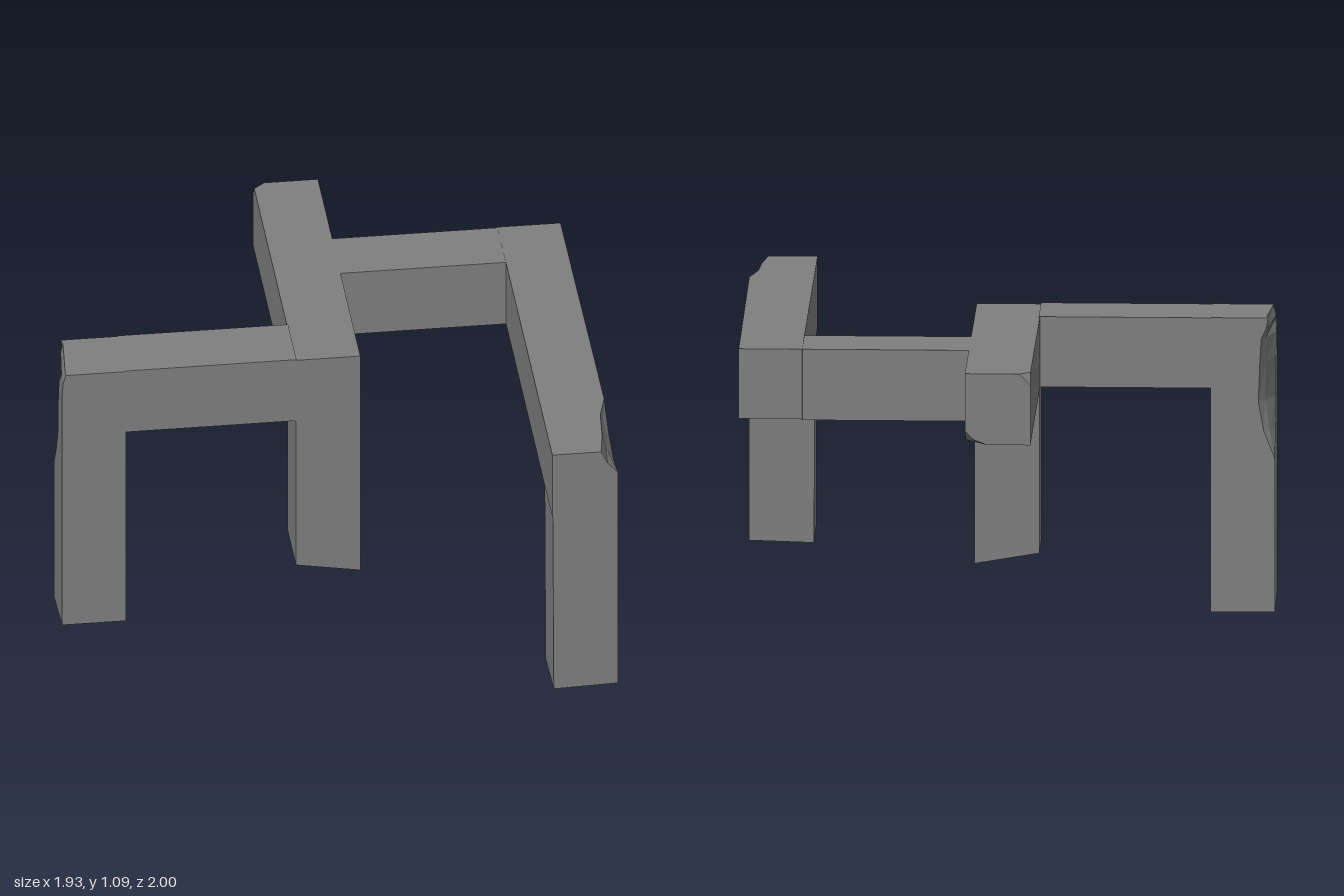
import * as THREE from 'three';

// Loft straight facets through matching rings of [x, y, z] points, capped at both ends
function loft(rings) {
  const n = rings[0].length, tris = [];
  for (let r = 0; r < rings.length - 1; r++) {
    const a = rings[r], b = rings[r + 1];
    for (let i = 0; i < n; i++) {
      const j = (i + 1) % n;
      tris.push([a[i], a[j], b[j]], [a[i], b[j], b[i]]);
    }
  }
  const first = rings[0], last = rings[rings.length - 1];
  for (let i = 1; i < n - 1; i++) {
    tris.push([first[0], first[i + 1], first[i]], [last[0], last[i], last[i + 1]]);
  }
  // Turn all faces outward using the signed volume
  const v = tris.map(t => t.map(p => new THREE.Vector3(...p)));
  const volume = v.reduce((s, [p, q, r]) => s + p.dot(q.clone().cross(r)), 0);
  const pts = v.flatMap(([p, q, r]) => (volume < 0 ? [p, r, q] : [p, q, r]));
  const geo = new THREE.BufferGeometry().setFromPoints(pts);
  geo.computeVertexNormals();
  return geo;
}

export function createModel() {
  const group = new THREE.Group();
  const stone = new THREE.MeshStandardMaterial({ color: 0x7f7f7f });
  stone.name = 'stone grey';
  stone.flatShading = true;

  const add = (name, rings) => {
    const mesh = new THREE.Mesh(loft(rings), stone);
    mesh.name = name;
    group.add(mesh);
  };
  // Horizontal ring whose height may slope in x and z
  const level = (x0, x1, z0, z1, y) =>
    [[x0, z0], [x1, z0], [x1, z1], [x0, z1]].map(([x, z]) => [x, y(x, z), z]);

  // Cross beam between the side leg and the middle
  add('sideBeam', [-0.735, -0.113].map(x => [
    [x, 0.83, -0.018], [x, 1.09, -0.018], [x, 1.09, 0.226], [x, 0.83, 0.226]]));

  // Middle leg with sloping foot
  add('middleLeg', [
    level(-0.115, 0.12, -0.016, 0.224, x => 0.195 - x * 0.17),
    level(-0.115, 0.12, -0.018, 0.224, () => 0.826)]);

  // Middle beam with broken corners at the rear end: z, lower chip, upper chip
  add('middleBeam', [[0.224, 0, 0], [-0.91, 0, 0], [-0.965, 0.03, 0], [-1, 0.05, 0.04]]
    .map(([z, c, d]) => [
      [-0.117, 0.823, z], [0.12 - c * 1.6, 0.823, z], [0.12 - c * 0.6, 0.823 + c * 0.4, z],
      [0.12, 0.823 + c, z], [0.12, 1.086, z], [-0.117 + d, 1.086, z], [-0.117, 1.086 - d, z]]));

  // Rear connecting beam
  add('rearBeam', [0.12, 0.73].map(x => [
    [x, 0.823, -0.59], [x, 1.085, -0.59], [x, 1.085, -0.35], [x, 0.823, -0.35]]));

  // Long beam with a chipped upper edge: z, right side, chip width, chip drop
  add('longBeam', [
    [-0.593, 0.953, 0, 0], [0.63, 0.958, 0, 0], [0.74, 0.96, 0.03, 0.075],
    [0.88, 0.961, 0.042, 0.106], [0.995, 0.963, 0.062, 0.092]
  ].map(([z, x, a, b]) => {
    const top = 1.088 + z * 0.004;
    return [[0.723, 0.827, z], [0.723, top, z], [x - a, top, z],
      [x - a * 0.6, top - b * 0.55, z], [x, top - b, z], [x, 0.827, z]];
  }));

  // Front leg with sloping foot
  add('frontLeg', [
    level(0.728, 0.963, 0.762, 0.998, (x, z) => 0.085 + (z - 0.762) * 0.07 + (x - 0.84) * 0.03),
    level(0.725, 0.963, 0.757, 0.995, () => 0.828)]);

  // Side leg with a worn rear outer edge: height, rear chip, side chip, scoop, front chip
  add('sideLeg', [
    [0, 0, 0, 0, 0], [0.57, 0, 0, 0, 0], [0.67, 0.04, 0.07, 0.02, 0],
    [0.78, 0.06, 0.12, 0.036, 0], [0.92, 0.055, 0.13, 0.036, 0],
    [1.01, 0.05, 0.15, 0.034, 0], [1.055, 0.03, 0.2, 0.022, 0.003],
    [1.09, 0.025, 0.22, 0.03, 0.014]
  ].map(([y, a, b, s, f]) => {
    const foot = z => (y === 0 ? 0.002 + (z + 0.014) * 0.11 : y);
    return [[-0.735, 0.23], [-0.735, -0.014], [-0.968 + a, -0.014],
      [-0.968 + s, -0.014 + s], [-0.968 + f, -0.014 + b], [-0.968 + f, 0.23]]
      .map(([x, z]) => [x, foot(z), z]);
  }));

  return group;
}
